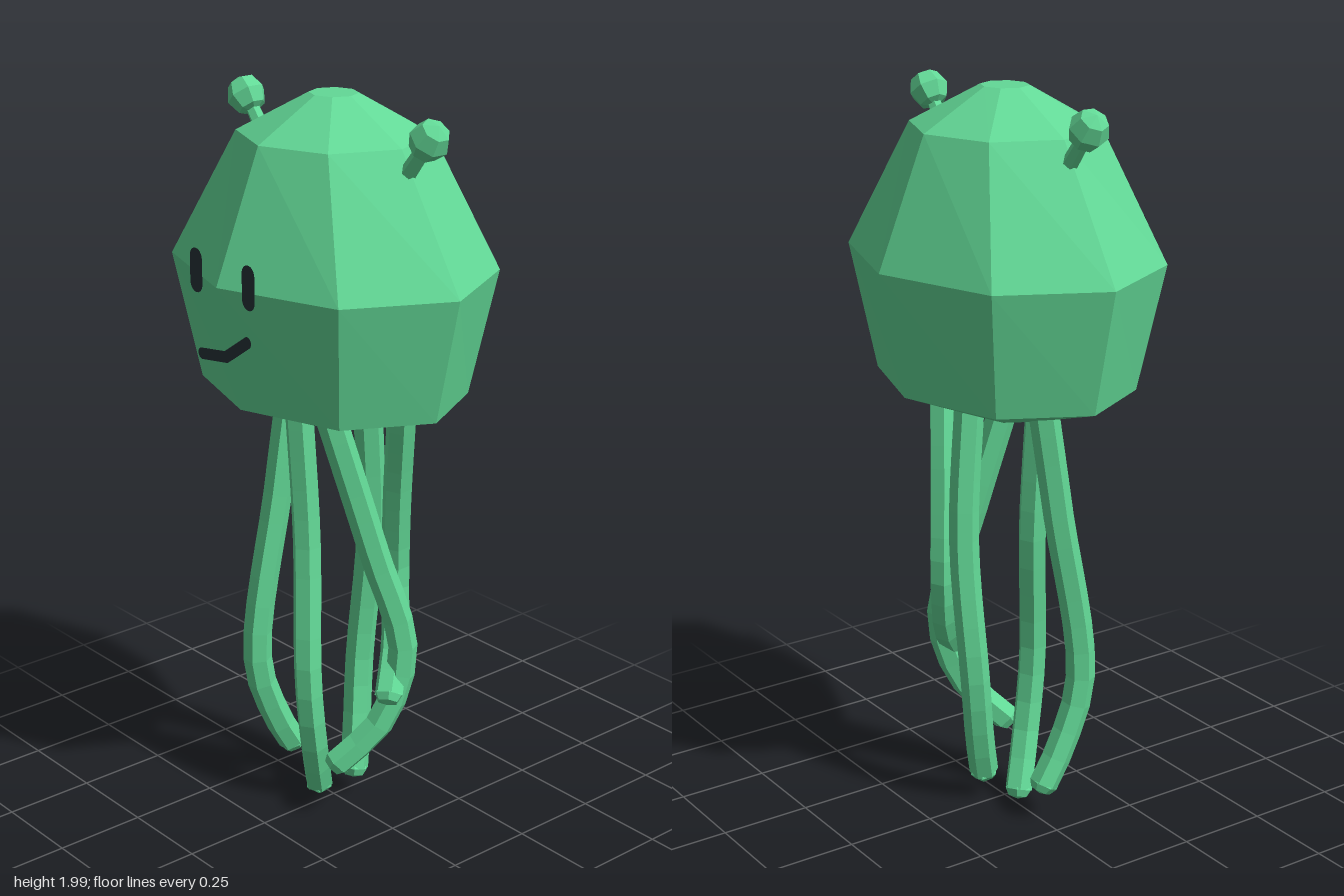
import * as THREE from 'three';

const green = new THREE.MeshStandardMaterial({ color: 0x62d896, flatShading: true, side: THREE.DoubleSide });
const dark = new THREE.MeshStandardMaterial({ color: 0x263238, side: THREE.DoubleSide });

function add(parent, name, geometry, material = green) {
  const mesh = new THREE.Mesh(geometry, material);
  mesh.name = name;
  parent.add(mesh);
  return mesh;
}

// Eight-sided bell: [half width, height, half depth] per ring
function bellGeometry() {
  const rings = [
    [0, 1.14, 0], [0.12, 1.14, 0.09], [0.395, 1.23, 0.31], [0.472, 1.565, 0.38],
    [0.256, 1.9, 0.243], [0.065, 2, 0.062], [0, 2, 0],
  ];
  const geo = new THREE.LatheGeometry(rings.map(([x, y]) => new THREE.Vector2(x, y)), 8);
  const pos = geo.attributes.position;
  for (let i = 0; i < pos.count; i++) {
    const [w, , d] = rings[i % rings.length];
    if (w) pos.setZ(i, pos.getZ(i) * d / w);
  }
  return geo;
}

// Flat bar with round ends, from a to b
function barGeometry([ax, ay], [bx, by], r) {
  const t = Math.atan2(by - ay, bx - ax);
  const shape = new THREE.Shape();
  shape.absarc(bx, by, r, t - Math.PI / 2, t + Math.PI / 2);
  shape.absarc(ax, ay, r, t + Math.PI / 2, t + Math.PI * 1.5);
  return new THREE.ShapeGeometry(shape, 6);
}

// Six-sided bent tentacle with a blunt tip
function tentacle(points) {
  const group = new THREE.Group();
  group.name = 'tentacle';
  const path = points.map((p) => new THREE.Vector3(...p));
  const curve = new THREE.CatmullRomCurve3(path);
  add(group, 'tentacleArm', new THREE.TubeGeometry(curve, 14, 0.04, 6));
  const tip = add(group, 'tentacleTip', new THREE.SphereGeometry(0.04, 6, 4));
  tip.scale.y = 0.7;
  tip.position.copy(path[path.length - 1]);
  tip.quaternion.setFromUnitVectors(new THREE.Vector3(0, 1, 0), curve.getTangent(1));
  return group;
}

// Stalk with a faceted ball, leaning outwards
function antenna(side) {
  const group = new THREE.Group();
  group.name = side > 0 ? 'leftAntenna' : 'rightAntenna';
  group.position.set(side * 0.25, 1.81, 0);
  group.rotation.z = -side * 0.68;
  add(group, 'antennaStalk', new THREE.CylinderGeometry(0.019, 0.024, 0.16, 6)).position.y = 0.05;
  add(group, 'antennaBall', new THREE.SphereGeometry(0.053, 7, 4)).position.y = 0.165;
  return group;
}

export function createModel() {
  const model = new THREE.Group();
  model.name = 'jellyfish';
  add(model, 'bell', bellGeometry());

  // Face
  const face = new THREE.Group();
  face.name = 'face';
  face.position.z = 0.362;
  model.add(face);
  for (const s of [1, -1]) {
    add(face, s > 0 ? 'leftEye' : 'rightEye', barGeometry([s * 0.105, 1.552], [s * 0.105, 1.617], 0.025), dark);
    model.add(antenna(s));
  }
  add(face, 'mouth', barGeometry([-0.088, 1.37], [0.012, 1.385], 0.015), dark);
  add(face, 'mouthCorner', barGeometry([0.012, 1.385], [0.098, 1.443], 0.015), dark);

  // Tentacles, from root to tip
  const paths = [
    [[-0.172, 1.2, 0.0], [-0.173, 0.9, 0.05], [-0.18, 0.4, 0.125], [-0.175, 0.2, 0.06], [-0.172, 0.11, 0.01]],
    [[-0.05, 1.2, 0.08], [-0.03, 0.8, 0.07], [0.01, 0.4, 0.1], [0.0, 0.18, 0.07], [-0.04, 0.035, 0.02]],
    [[0.03, 1.2, -0.09], [0.01, 0.8, -0.125], [-0.018, 0.4, -0.11], [0.005, 0.2, -0.08], [0.03, 0.085, -0.05]],
    [[0.1, 1.2, 0.1], [0.15, 0.8, -0.01], [0.195, 0.5, -0.08], [0.175, 0.3, -0.02], [0.11, 0.18, 0.08]],
    [[0.19, 1.2, -0.07], [0.13, 0.9, -0.11], [0.105, 0.66, -0.13], [0.14, 0.5, -0.1], [0.205, 0.39, -0.02]],
  ];
  for (const path of paths) model.add(tentacle(path));
  return model;
}
